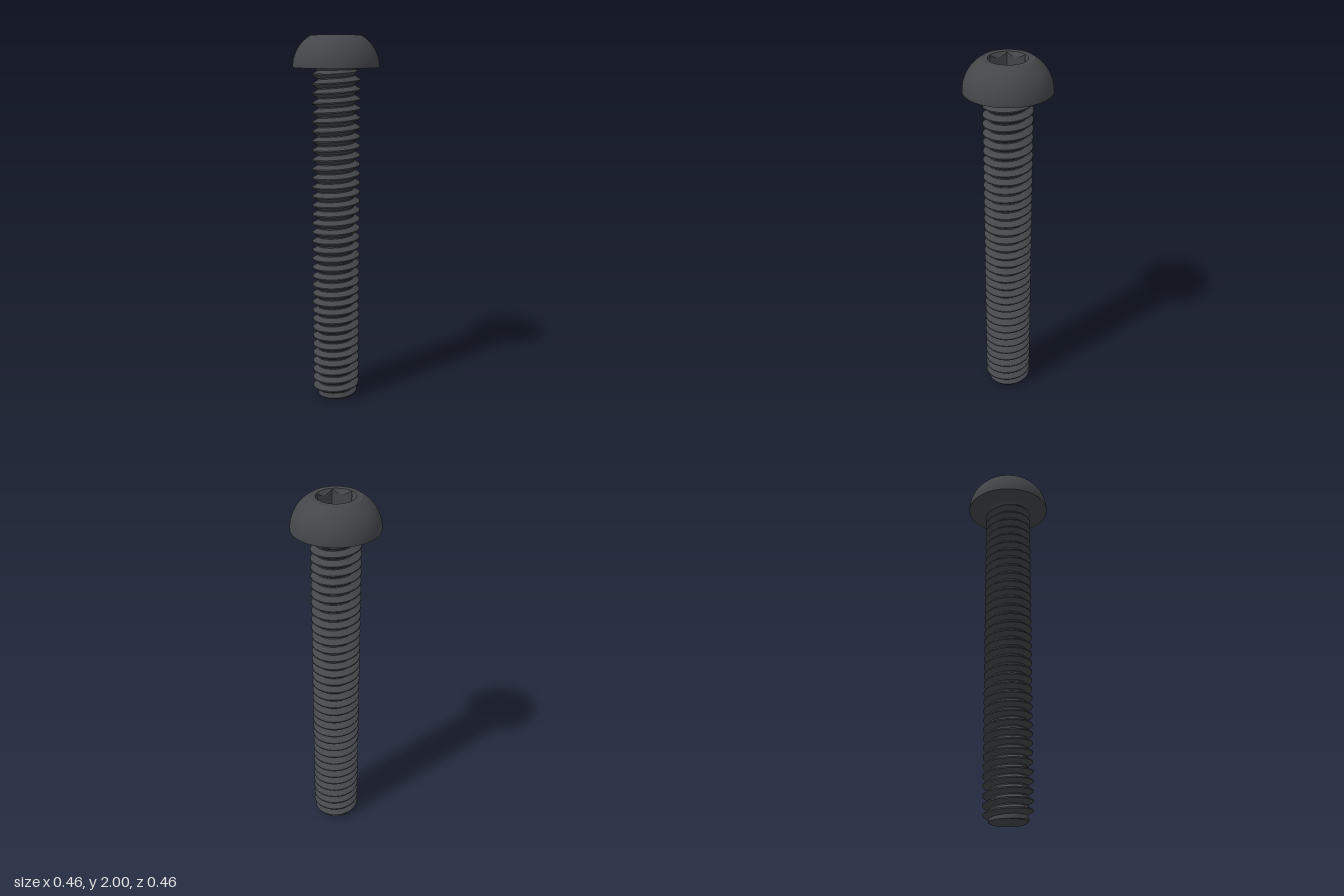
import * as THREE from 'three';
import { toCreasedNormals } from 'three/addons/utils/BufferGeometryUtils.js';

const TAU = Math.PI * 2;
const HEAD_BASE = 1.835;

// Surface swept around y: point(row, angle) returns [radius, height];
// rows run from the bottom outwards, upwards, then back in
function sweep(rows, columns, point, crease) {
  const at = (j, i) => {
    const t = (i / columns) * TAU;
    const [r, y] = point(j, t);
    return new THREE.Vector3(r * Math.cos(t), y, -r * Math.sin(t));
  };
  const positions = [];
  const triangle = new THREE.Triangle();
  const add = (a, b, c) => {
    if (triangle.set(a, b, c).getArea() < 1e-9) return;
    for (const v of [a, b, c]) positions.push(v.x, v.y, v.z);
  };
  for (let j = 0; j < rows - 1; j++) {
    for (let i = 0; i < columns; i++) {
      const a = at(j, i), b = at(j, i + 1), c = at(j + 1, i + 1), d = at(j + 1, i);
      add(a, b, c);
      add(a, c, d);
    }
  }
  const geometry = new THREE.BufferGeometry();
  geometry.setAttribute('position', new THREE.Float32BufferAttribute(positions, 3));
  return toCreasedNormals(geometry, crease);
}

// Domed head with a chamfered hexagonal socket
function headGeometry() {
  const rings = [[0.1, HEAD_BASE]];
  const domeSteps = 14, domeRadius = 0.188, domeCentre = 0.04;
  const endAngle = Math.asin((2 - HEAD_BASE) / domeRadius);
  for (let i = 0; i <= domeSteps; i++) {
    const a = (i / domeSteps) * endAngle;
    rings.push([domeCentre + domeRadius * Math.cos(a), HEAD_BASE + domeRadius * Math.sin(a)]);
  }
  rings.push([0.1, 2]);
  const profile = rings.map((p) => () => p);

  const hexRadius = (t) => {
    const side = Math.PI / 3;
    return 0.0855 / Math.cos((t % side) - side / 2);
  };
  profile.push(
    (t) => [hexRadius(t), 2 - (0.1 - hexRadius(t)) * 1.5],
    (t) => [hexRadius(t), 1.9],
    () => [0, 1.9],
  );
  return sweep(profile.length, 96, (j, t) => profile[j](t), 0.5);
}

// Right-hand helical thread with a chamfered tip and a run-out below the head
function threadGeometry() {
  const pitch = 0.05, root = 0.098, crest = 0.129;
  const section = [[0, root], [0.12, root], [0.5, crest], [0.62, crest]];
  const turns = Math.ceil(HEAD_BASE / pitch) + 2;
  return sweep(turns * section.length, 64, (j, t) => {
    const [offset, radius] = section[j % section.length];
    const turn = Math.floor(j / section.length) - 1;
    const y = THREE.MathUtils.clamp(pitch * (turn + offset + t / TAU), 0, HEAD_BASE);
    const limit = Math.min(0.1 + y * 0.8, root + (HEAD_BASE - y));
    return [Math.min(radius, limit), y];
  }, 0.5);
}

export function createModel() {
  const model = new THREE.Group();
  model.name = 'buttonHeadScrew';
  const material = new THREE.MeshStandardMaterial({ color: 0x43474a });
  const add = (name, geometry) => {
    const mesh = new THREE.Mesh(geometry, material);
    mesh.name = name;
    model.add(mesh);
    return mesh;
  };

  add('head', headGeometry());
  add('thread', threadGeometry());

  // Fillet joining the shank to the head
  const fillet = [];
  for (let i = 0; i <= 6; i++) {
    const a = (i / 6) * (Math.PI / 2);
    fillet.push(new THREE.Vector2(0.132 - 0.032 * Math.cos(a), HEAD_BASE - 0.032 + 0.032 * Math.sin(a)));
  }
  add('neckFillet', new THREE.LatheGeometry(fillet, 64));

  // Flat end of the shank
  const tip = add('tip', new THREE.CircleGeometry(0.1, 64));
  tip.rotation.x = Math.PI / 2;

  return model;
}
